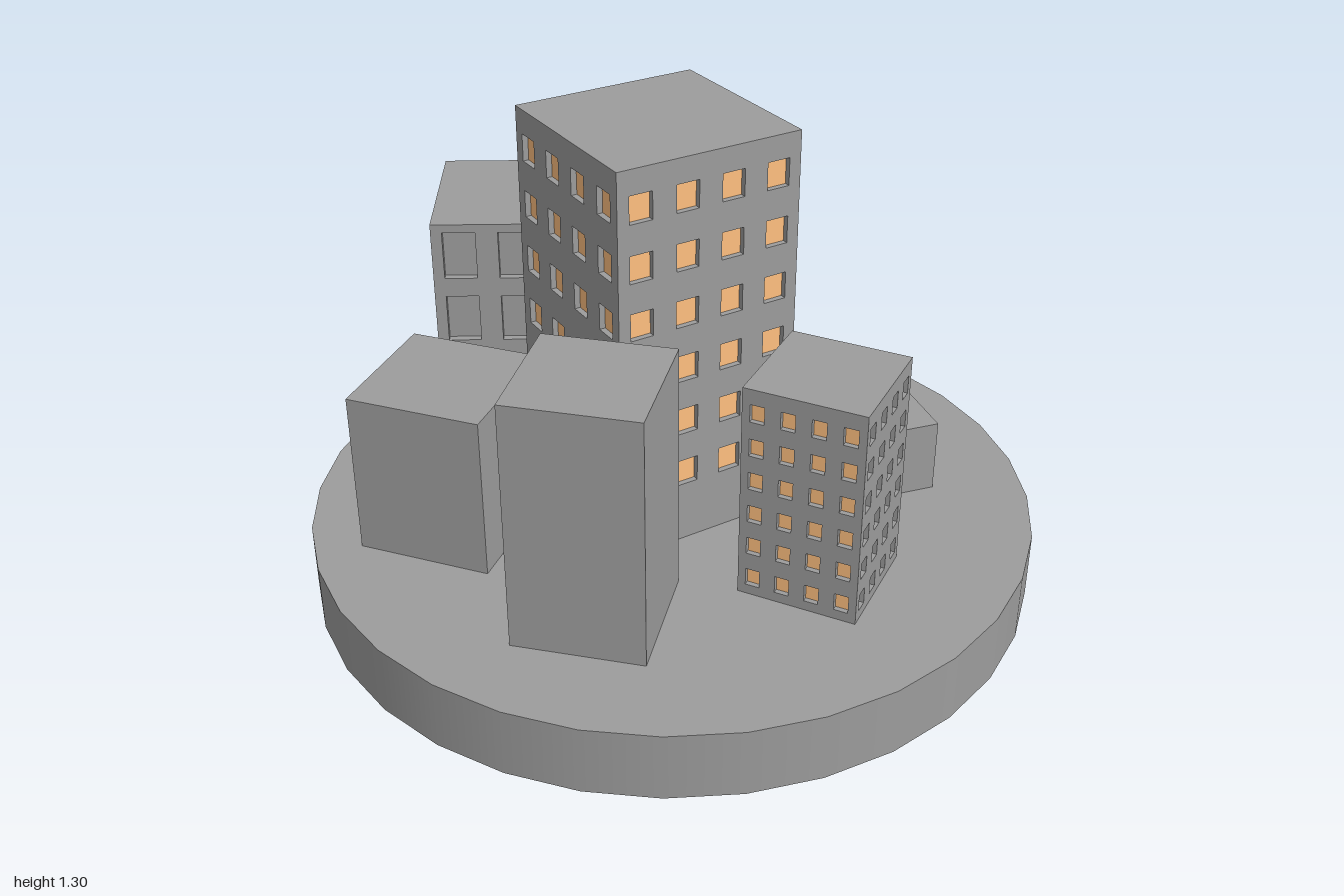
import * as THREE from 'three';

const GROUND = 0.19;
const concrete = new THREE.MeshStandardMaterial({ color: 0x9c9c9c });
const lit = new THREE.MeshStandardMaterial({ color: 0xffc080 });

function addMesh(parent, name, geometry, material, x = 0, y = 0, z = 0) {
  const mesh = new THREE.Mesh(geometry, material);
  mesh.name = name;
  mesh.position.set(x, y, z);
  parent.add(mesh);
}

// Rectangle outline centred on x, y
function rect(path, x, y, w, h) {
  path.moveTo(x - w / 2, y - h / 2);
  path.lineTo(x + w / 2, y - h / 2);
  path.lineTo(x + w / 2, y + h / 2);
  path.lineTo(x - w / 2, y + h / 2);
  path.closePath();
  return path;
}

// Group standing on the platform, turned about its own vertical axis
function plot(name, x, z, turn) {
  const group = new THREE.Group();
  group.name = name;
  group.position.set(x, GROUND, z);
  group.rotation.y = turn;
  return group;
}

function plainBuilding({ name, x, z, turn, w, d, top }) {
  const group = plot(name, x, z, turn);
  const h = top - GROUND;
  addMesh(group, 'walls', new THREE.BoxGeometry(w, h, d), concrete, 0, h / 2, 0);
  return group;
}

// Solid core wrapped in four pierced facades, so every window is recessed
function windowedBuilding({ name, x, z, turn, w, d, top, cols, rows, firstRow, rowStep, winW, winH, recess, pane }) {
  const group = plot(name, x, z, turn);
  const h = top - GROUND;
  addMesh(group, 'core', new THREE.BoxGeometry(w - 2 * recess, h, d - 2 * recess), concrete, 0, h / 2, 0);

  for (let side = 0; side < 4; side++) {
    const across = side % 2 ? d : w;
    const out = (side % 2 ? w : d) / 2 - recess;
    const panelW = side % 2 ? across - 2 * recess : across;
    const facade = new THREE.Group();
    facade.name = 'facade';
    facade.rotation.y = side * Math.PI / 2;
    group.add(facade);

    const shape = rect(new THREE.Shape(), 0, h / 2, panelW, h);
    for (let c = 0; c < cols; c++) {
      for (let r = 0; r < rows; r++) {
        const wx = (c - (cols - 1) / 2) * across / cols;
        const wy = firstRow - GROUND + r * rowStep;
        shape.holes.push(rect(new THREE.Path(), wx, wy, winW, winH));
        addMesh(facade, 'windowPane', new THREE.PlaneGeometry(winW, winH), pane, wx, wy, out + 0.002);
      }
    }
    const panel = new THREE.ExtrudeGeometry(shape, { depth: recess, bevelEnabled: false });
    addMesh(facade, 'facadePanel', panel, concrete, 0, 0, out);
  }
  return group;
}

export function createModel() {
  const model = new THREE.Group();
  model.name = 'cityBlock';

  // Round platform
  addMesh(model, 'platform', new THREE.CylinderGeometry(1, 1, GROUND, 32), concrete, 0, GROUND / 2, 0);

  // Buildings with windows
  const windowed = [
    { name: 'centralTower', x: -0.01, z: -0.06, turn: -0.02, w: 0.53, d: 0.525, top: 1.296, cols: 4, rows: 6,
      firstRow: 0.401, rowStep: 0.158, winW: 0.065, winH: 0.075, recess: 0.018, pane: lit },
    { name: 'frontTower', x: 0.12, z: 0.525, turn: 0.554, w: 0.32, d: 0.322, top: 0.797, cols: 4, rows: 6,
      firstRow: 0.242, rowStep: 0.0975, winW: 0.038, winH: 0.049, recess: 0.016, pane: lit },
    { name: 'backBuilding', x: -0.104, z: -0.661, turn: -0.543, w: 0.465, d: 0.465, top: 0.898, cols: 3, rows: 3,
      firstRow: 0.41, rowStep: 0.1965, winW: 0.092, winH: 0.14, recess: 0.024, pane: concrete },
  ];
  windowed.forEach((b) => model.add(windowedBuilding(b)));

  // Plain blocks
  const plain = [
    { name: 'rightBackBlock', x: -0.579, z: -0.2, turn: 0.66, w: 0.375, d: 0.372, top: 0.648 },
    { name: 'rightFrontBlock', x: -0.4535, z: 0.354, turn: 0.775, w: 0.35, d: 0.348, top: 0.88 },
    { name: 'leftBackBlock', x: 0.461, z: -0.471, turn: -0.235, w: 0.278, d: 0.278, top: 0.63 },
    { name: 'leftFrontBlock', x: 0.5355, z: 0.205, turn: -0.237, w: 0.281, d: 0.282, top: 0.4 },
  ];
  plain.forEach((b) => model.add(plainBuilding(b)));

  return model;
}
